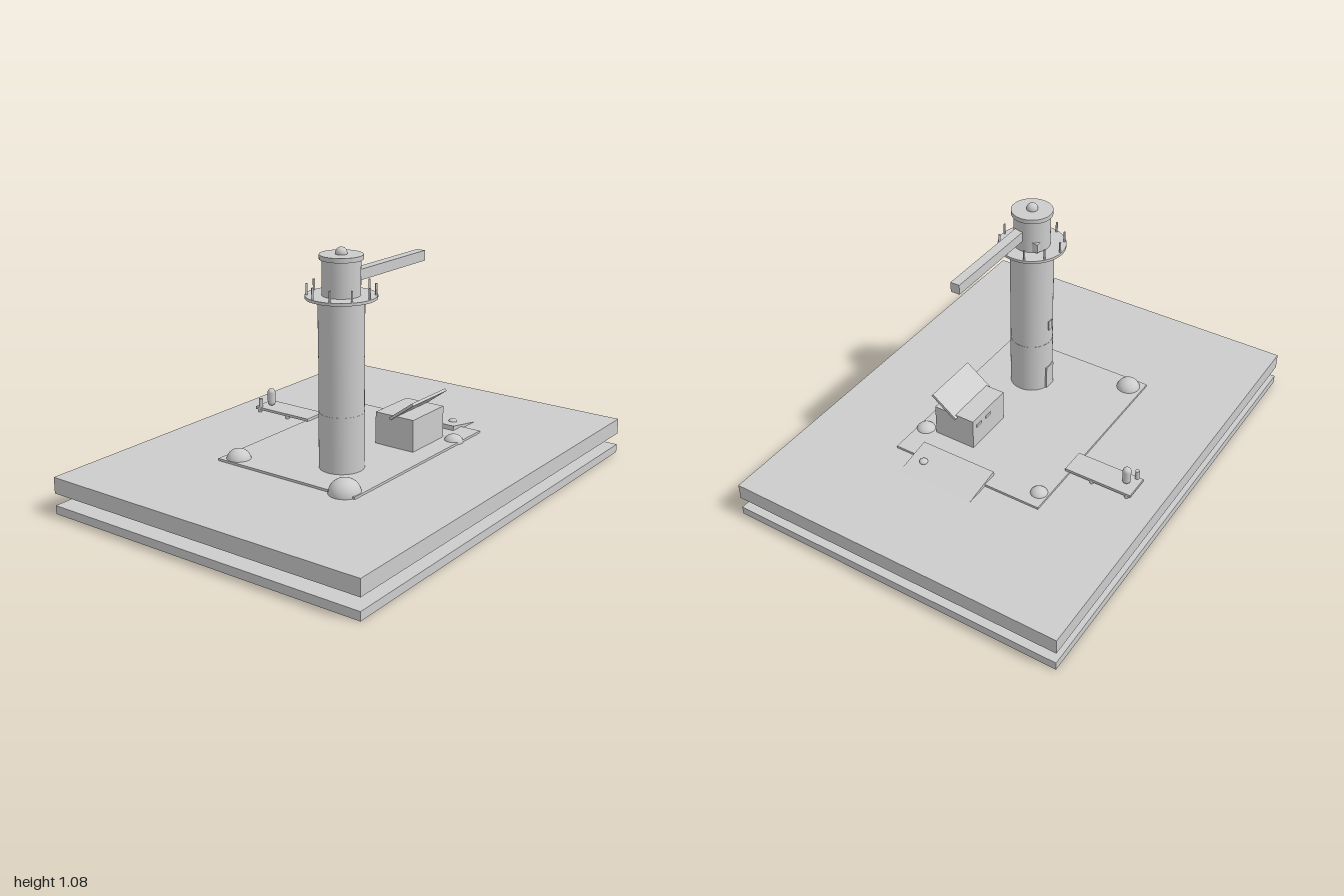
import * as THREE from 'three';

export function createModel() {
  const model = new THREE.Group();
  model.name = 'lighthouseIsland';
  const grey = new THREE.MeshStandardMaterial({ color: 0xcccccc });
  grey.name = 'plain grey';

  const add = (name, geometry, x, y, z, parent = model) => {
    const mesh = new THREE.Mesh(geometry, grey);
    mesh.name = name;
    mesh.position.set(x, y, z);
    parent.add(mesh);
    return mesh;
  };
  // Box given by its lower and upper limits
  const box = (name, x0, x1, y0, y1, z0, z1, parent) =>
    add(name, new THREE.BoxGeometry(x1 - x0, y1 - y0, z1 - z0),
      (x0 + x1) / 2, (y0 + y1) / 2, (z0 + z1) / 2, parent);
  // Upright cylinder from y0 to y1
  const column = (name, r, y0, y1, x, z, parent, sides = 48) =>
    add(name, new THREE.CylinderGeometry(r, r, y1 - y0, sides), x, (y0 + y1) / 2, z, parent);

  // Sea bed, water slab and island
  box('seaBed', -1, 1, 0, 0.037, -0.763, 0.763);
  box('water', -1, 1, 0.09, 0.16, -0.763, 0.763);
  box('island', -0.47, 0.465, 0.055, 0.17, -0.353, 0.35);

  // Tower, centred on its own axis
  const tower = new THREE.Group();
  tower.name = 'tower';
  tower.position.set(-0.238, 0, 0.115);
  model.add(tower);
  column('lowerBand', 0.094, 0.17, 0.41, 0, 0, tower);
  column('middleBand', 0.093, 0.41, 0.645, 0, 0, tower);
  column('upperBand', 0.094, 0.645, 0.88, 0, 0, tower);
  box('door', -0.028, 0.028, 0.17, 0.28, -0.097, -0.08, tower);
  box('towerWindow', -0.013, 0.013, 0.48, 0.525, -0.097, -0.08, tower);

  // Gallery with railing posts
  column('gallery', 0.145, 0.88, 0.892, 0, 0, tower);
  for (let i = 0; i < 10; i++) {
    const a = (i / 10) * Math.PI * 2;
    column('railingPost', 0.0045, 0.89, 0.938, Math.sin(a) * 0.137, Math.cos(a) * 0.137, tower, 8);
  }

  // Lantern room, cap, finial and light beam
  column('lanternRoom', 0.078, 0.89, 1.036, 0, 0, tower);
  column('lanternCap', 0.088, 1.036, 1.055, 0, 0, tower);
  add('finial', new THREE.SphereGeometry(0.024, 24, 16), 0, 1.06, 0, tower);
  box('lanternBox', 0.046, 0.068, 0.898, 0.939, -0.068, -0.042, tower);
  box('lightBeam', -0.175, 0.3, 0.941, 0.985, 0.113, 0.154);

  // Cottage with a tilted roof panel and rear windows
  box('cottage', 0.067, 0.302, 0.17, 0.312, 0.068, 0.26);
  const roof = add('roofPanel', new THREE.BoxGeometry(0.26, 0.012, 0.143), 0.186, 0.341, 0.205);
  roof.rotation.x = -0.64;
  for (const x of [0.19, 0.258]) {
    box('cottageWindow', x - 0.018, x + 0.018, 0.265, 0.278, 0.065, 0.072);
  }

  // Beach sloping into the water
  const beach = add('beach', new THREE.BoxGeometry(0.18, 0.02, 0.352), 0.487, 0.165, 0.078);
  beach.rotation.z = -0.17;

  // Rocks: x, y, z, radius, half height
  const rocks = [
    [-0.44, 0.16, 0.28, 0.067, 0.063],
    [-0.415, 0.16, -0.288, 0.053, 0.051],
    [0.386, 0.16, -0.31, 0.038, 0.033],
    [0.302, 0.16, 0.315, 0.042, 0.034],
    [0.49, 0.177, 0.193, 0.018, 0.012],
  ];
  for (const [x, y, z, r, h] of rocks) {
    add('rock', new THREE.SphereGeometry(r, 32, 20), x, y, z).scale.y = h / r;
  }

  // Dock with piles, a mooring post and a standing figure
  box('dockDeck', 0.105, 0.22, 0.172, 0.184, -0.64, -0.335);
  for (const x of [0.113, 0.212]) {
    for (const z of [-0.457, -0.62]) column('dockPile', 0.009, 0.07, 0.18, x, z, model, 12);
  }
  column('mooringPost', 0.009, 0.18, 0.225, 0.113, -0.615, model, 12);
  add('figure', new THREE.CapsuleGeometry(0.018, 0.046, 8, 20), 0.16, 0.225, -0.59);

  return model;
}
